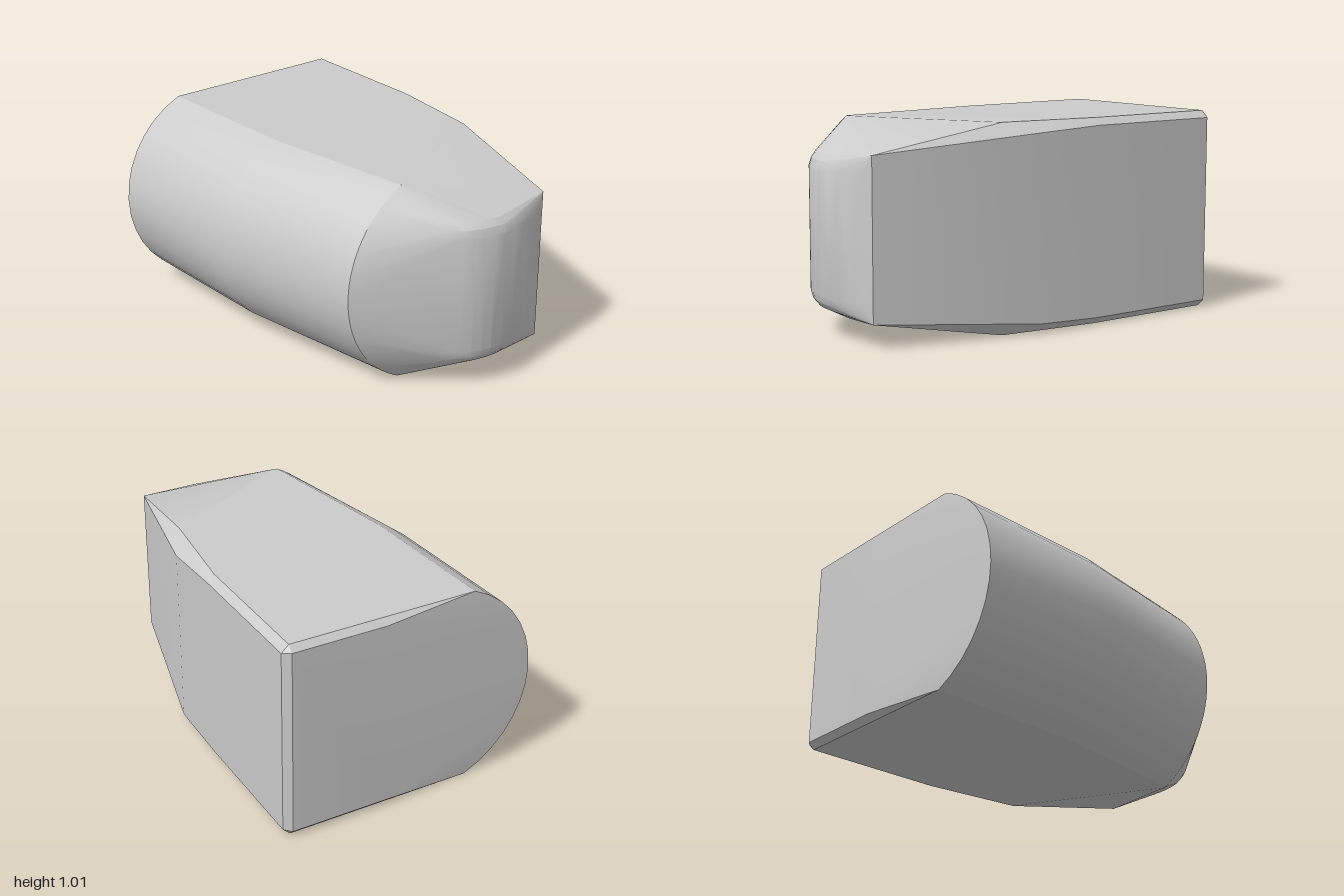
import * as THREE from 'three';
import { toCreasedNormals } from 'three/addons/utils/BufferGeometryUtils.js';
import { ConvexGeometry } from 'three/addons/geometries/ConvexGeometry.js';

const MID = 0.505; // half height; the body mirrors about this level

export function createModel() {
  const group = new THREE.Group();
  const points = [];
  const add = (x, y, z) => points.push(new THREE.Vector3(x, y, z));
  const addPair = (x, y, z) => { add(x, y, z); add(x, 2 * MID - y, z); };

  // Circular arc bulging to -x, from the bottom edge to the top edge
  const addArc = (apexX, edgeX, z, segments) => {
    const sag = edgeX - apexX;
    const r = (MID * MID + sag * sag) / (2 * sag);
    const half = Math.asin(MID / r);
    for (let i = 0; i <= segments; i++) {
      const a = -half + (2 * half * i) / segments;
      add(apexX + r - r * Math.cos(a), MID + r * Math.sin(a), z);
    }
  };

  // Rounded side: back, middle and front sections
  addArc(-0.67, -0.33, -0.97, 14);
  addArc(-0.64, -0.3, -0.17, 14);
  addArc(-0.49, -0.18, 0.645, 32);

  // Bevelled back wall
  addPair(0.63, 0.03, -1);
  addPair(0.15, 0.03, -1);
  addPair(0.63, 0, -0.97);
  addPair(0.667, 0.035, -0.97);

  // Flat side and the edges of the top and bottom faces
  addPair(0.667, 0.035, -0.25);
  addPair(0.667, 0.05, 0.09);
  addPair(0.63, 0, -0.25);
  addPair(0.57, 0, 0.26);
  addPair(-0.16, 0, 0.65);
  addPair(0.475, 0.12, 0.92);

  // Curved front with a rounded rim
  const front = [[-0.1, 0.9], [-0.05, 0.937], [0, 0.965], [0.05, 0.983], [0.1, 0.994], [0.16, 1],
    [0.22, 0.994], [0.29, 0.981], [0.36, 0.967], [0.42, 0.947]];
  for (const [x, z] of front) {
    addPair(x, 0.21, z);
    addPair(x, 0.17, z - 0.014);
    addPair(x, 0.14, z - 0.04);
    addPair(x, 0.125, z - 0.07);
  }

  const body = new THREE.Mesh(
    toCreasedNormals(new ConvexGeometry(points), 0.35),
    new THREE.MeshStandardMaterial({ color: 0xcccccc })
  );
  body.name = 'body';
  group.add(body);
  return group;
}
